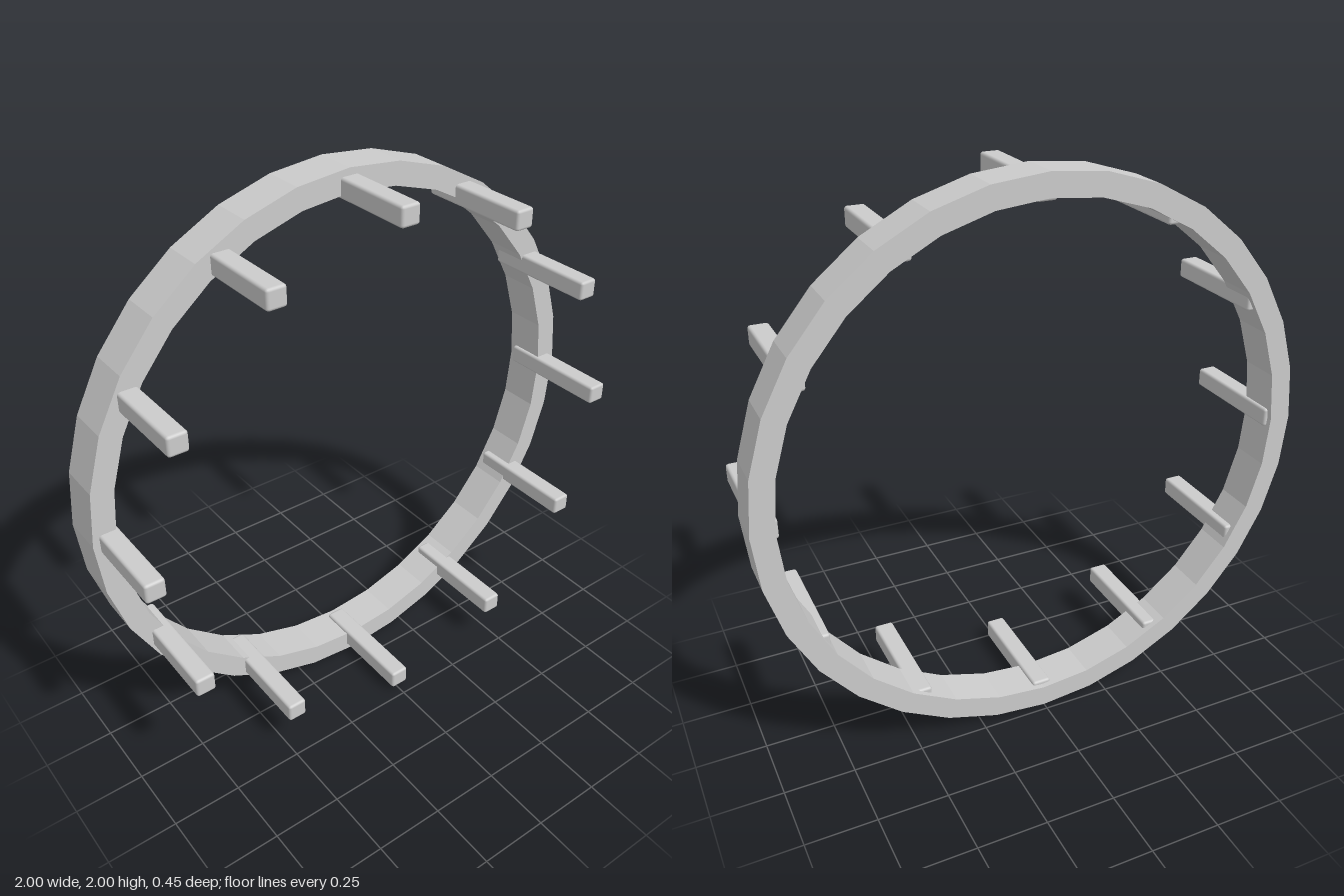
import * as THREE from 'three';
import { RoundedBoxGeometry } from 'three/addons/geometries/RoundedBoxGeometry.js';

const SIDES = 32, PEGS = 12;

// corners of a regular polygon, first corner on +x
function polygon(radius) {
  return Array.from({ length: SIDES }, (_, i) => {
    const a = (i / SIDES) * Math.PI * 2;
    return new THREE.Vector2(Math.cos(a) * radius, Math.sin(a) * radius);
  });
}

export function createModel() {
  const model = new THREE.Group();
  model.name = 'peggedRing';
  const ringMaterial = new THREE.MeshStandardMaterial({ color: 0xcccccc, flatShading: true });
  const pegMaterial = new THREE.MeshStandardMaterial({ color: 0xcccccc });

  // faceted flat band at the back
  const outline = new THREE.Shape(polygon(1));
  outline.holes.push(new THREE.Path(polygon(0.92)));
  const ringGeometry = new THREE.ExtrudeGeometry(outline, { depth: 0.15, bevelEnabled: false });
  const ring = new THREE.Mesh(ringGeometry, ringMaterial);
  ring.name = 'ring';
  ring.position.set(0, 1, -0.225);
  model.add(ring);

  // upright square pegs, running through the band and out to the front
  const back = -0.205, front = 0.225;
  const pegGeometry = new RoundedBoxGeometry(0.07, 0.07, front - back, 2, 0.01);
  const pegs = new THREE.Group();
  pegs.name = 'pegs';
  for (let i = 0; i < PEGS; i++) {
    const a = (i / PEGS) * Math.PI * 2;
    const peg = new THREE.Mesh(pegGeometry, pegMaterial);
    peg.name = `peg${i + 1}`;
    peg.position.set(Math.cos(a) * 0.94, 1 + Math.sin(a) * 0.94, (front + back) / 2);
    pegs.add(peg);
  }
  model.add(pegs);
  return model;
}
